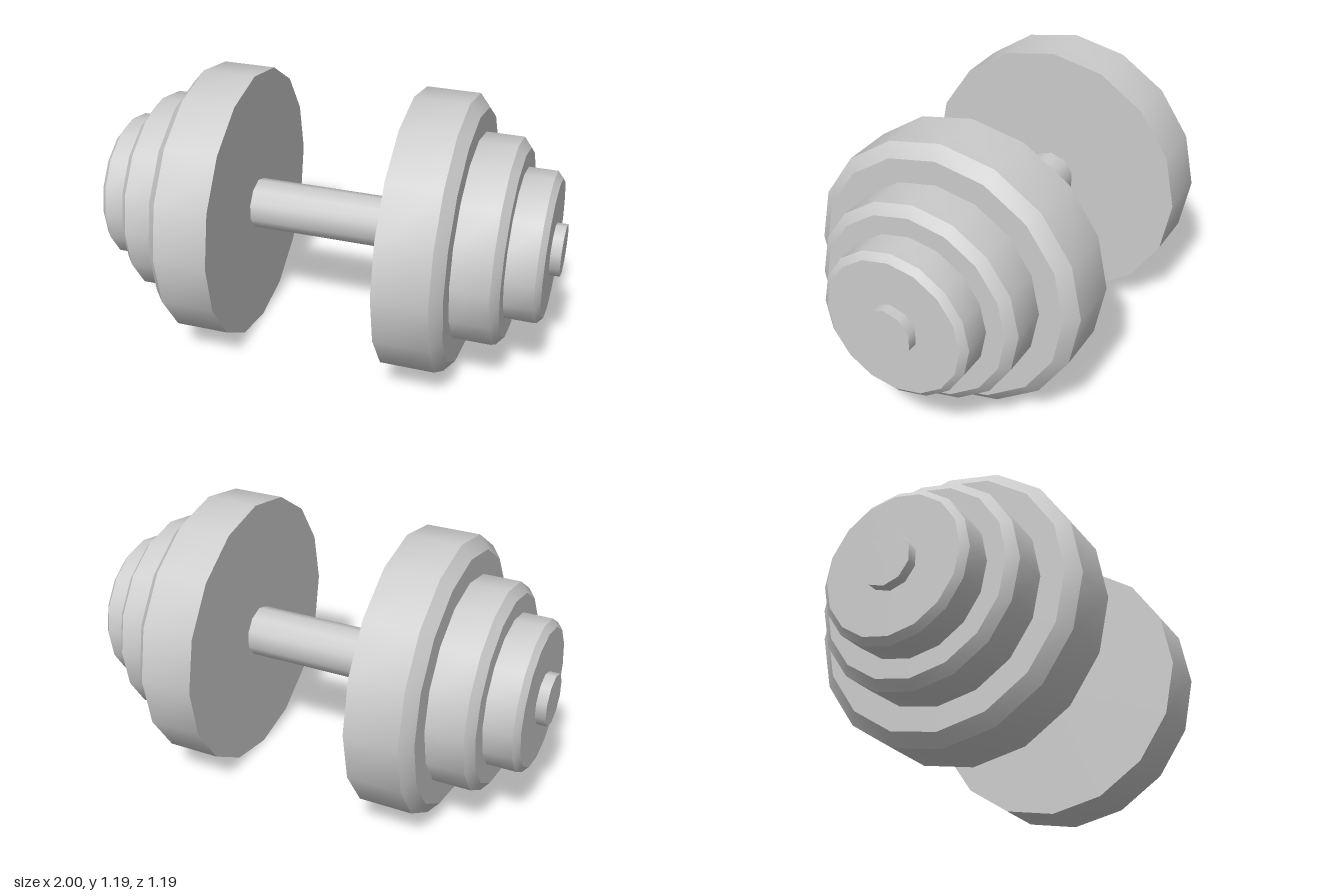
import * as THREE from 'three';
import { toCreasedNormals } from 'three/addons/utils/BufferGeometryUtils.js';

const AXIS_Y = 0.597;
const material = new THREE.MeshStandardMaterial({ color: 0xcccccc });

// Turned solid along the x axis; profile is [radius, x] from inner to outer end
function turned(name, profile, sides, crease, side) {
  const points = profile.map(([r, x]) => new THREE.Vector2(r, x));
  const lathe = new THREE.LatheGeometry(points, sides, Math.PI / 2);
  lathe.rotateZ(-side * Math.PI / 2);
  const mesh = new THREE.Mesh(toCreasedNormals(lathe, crease), material);
  mesh.name = name;
  return mesh;
}

// Disc with a chamfered outer rim
function plate(name, inner, outer, radius, bevelDepth, bevelWidth, side) {
  return turned(name, [
    [0, inner],
    [radius, inner],
    [radius, outer - bevelWidth],
    [radius - bevelDepth, outer],
    [0, outer],
  ], 16, 0.5, side);
}

export function createModel() {
  const model = new THREE.Group();
  model.name = 'dumbbell';

  // Ten-sided bar through the whole length
  const bar = turned('bar', [[0, -1], [0.11, -1], [0.11, 1], [0, 1]], 10, 0.7, 1);
  model.add(bar);

  // Three stepped plates at each end
  for (const side of [1, -1]) {
    const weights = new THREE.Group();
    weights.name = side > 0 ? 'leftWeights' : 'rightWeights';
    weights.add(
      plate('largePlate', 0.343, 0.617, 0.596, 0.053, 0.045, side),
      plate('mediumPlate', 0.617, 0.81, 0.441, 0.04, 0.033, side),
      plate('smallPlate', 0.81, 0.956, 0.321, 0.028, 0.024, side),
    );
    model.add(weights);
  }

  model.children.forEach((part) => { part.position.y = AXIS_Y; });
  return model;
}
